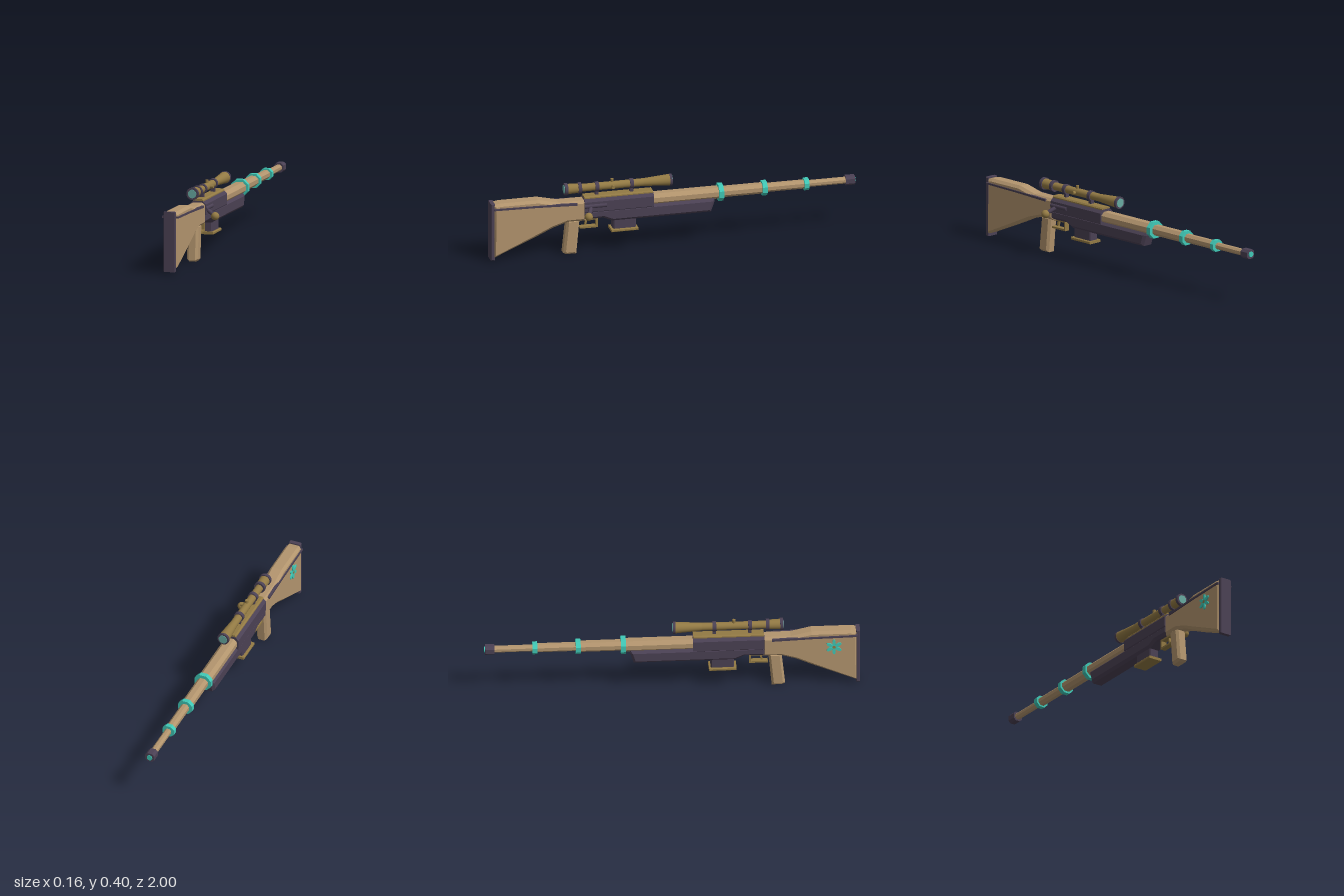
import * as THREE from 'three';

const CX = -0.035; // centre plane of the rifle body

const paint = (name, color) => {
  const m = new THREE.MeshStandardMaterial({ color });
  m.name = name;
  return m;
};

export function createModel() {
  const root = new THREE.Group();
  root.name = 'rifle';
  const tan = paint('tanWood', 0xb3956e);
  const dark = paint('darkMetal', 0x4b4154);
  const gold = paint('agedBrass', 0x937a44);
  const teal = paint('teal', 0x40c8b6);
  const lens = paint('lensGlass', 0x68aaa1);

  const add = (name, geo, mat, parent = root) => {
    const mesh = new THREE.Mesh(geo, mat);
    mesh.name = name;
    parent.add(mesh);
    return mesh;
  };

  // Side profile of [z, y] points, extruded across x with chamfered edges
  const slab = (name, mat, pts, width, bevel) => {
    const shape = new THREE.Shape(pts.map(([z, y]) => new THREE.Vector2(z, y)));
    const geo = new THREE.ExtrudeGeometry(shape, {
      depth: width - 2 * bevel, bevelEnabled: bevel > 0, bevelSize: bevel,
      bevelThickness: bevel, bevelOffset: -bevel, bevelSegments: 1,
    });
    geo.translate(0, 0, bevel - width / 2).rotateY(-Math.PI / 2).translate(CX, 0, 0);
    return add(name, geo, mat);
  };

  // Bar along z with an octagonal section
  const bar = (name, mat, w, h, y, z0, z1, chamfer = 0.3) => {
    const c = Math.min(w, h) * chamfer, a = w / 2, b = h / 2;
    const shape = new THREE.Shape([
      [a, -b + c], [a, b - c], [a - c, b], [-a + c, b],
      [-a, b - c], [-a, -b + c], [-a + c, -b], [a - c, -b],
    ].map(([px, py]) => new THREE.Vector2(px, py)));
    const geo = new THREE.ExtrudeGeometry(shape, { depth: z1 - z0, bevelEnabled: false });
    return add(name, geo.translate(CX, y, z0), mat);
  };

  // Round section along z
  const round = (name, mat, r0, r1, y, z0, z1, x = CX, sides = 24) => {
    const geo = new THREE.CylinderGeometry(r1, r0, z1 - z0, sides);
    return add(name, geo.rotateX(Math.PI / 2).translate(x, y, (z0 + z1) / 2), mat);
  };

  const box = (name, mat, w, h, d, x, y, z) =>
    add(name, new THREE.BoxGeometry(w, h, d).translate(x, y, z), mat);

  // Stock, butt pad and the inlaid seam
  slab('stock', tan, [
    [0.985, 0.022], [0.985, 0.325], [0.95, 0.331], [0.74, 0.331], [0.63, 0.306],
    [0.48, 0.306], [0.48, 0.19], [0.58, 0.19], [0.66, 0.165], [0.757, 0.12],
  ], 0.08, 0.014);
  slab('buttPad', dark, [[1, 0.01], [1, 0.333], [0.978, 0.333], [0.978, 0.01]], 0.067, 0.004);
  slab('stockSeam', dark, [
    [0.985, 0.298], [0.985, 0.308], [0.75, 0.304], [0.53, 0.298], [0.53, 0.286], [0.75, 0.294],
  ], 0.092, 0);

  // Grip, trigger guard and trigger
  slab('grip', tan, [[0.602, 0.012], [0.582, 0.2], [0.512, 0.2], [0.53, 0.003], [0.585, 0.003]], 0.06, 0.012);
  box('guardBottom', gold, 0.03, 0.01, 0.1, CX, 0.145, 0.46);
  box('guardFront', gold, 0.03, 0.055, 0.01, CX, 0.168, 0.415);
  box('guardTop', gold, 0.03, 0.01, 0.1, CX, 0.19, 0.46);
  slab('trigger', gold, [[0.475, 0.2], [0.465, 0.2], [0.472, 0.155], [0.482, 0.155]], 0.014, 0);

  // Receiver and forend
  slab('forend', dark, [
    [0.5, 0.195], [0.5, 0.25], [-0.222, 0.25], [-0.225, 0.235], [-0.205, 0.175],
    [0.335, 0.175], [0.385, 0.197],
  ], 0.082, 0.014);
  bar('receiver', dark, 0.088, 0.09, 0.27, 0.11, 0.49, 0.2);
  bar('receiverTop', gold, 0.058, 0.026, 0.312, 0.112, 0.488, 0.25);
  round('boltBody', dark, 0.012, 0.012, 0.274, 0.37, 0.49, 0.004, 12);

  // Magazine
  slab('magazine', dark, [[0.33, 0.12], [0.33, 0.19], [0.205, 0.19], [0.205, 0.12]], 0.056, 0.006);
  slab('magazinePlate', gold, [[0.342, 0.112], [0.342, 0.127], [0.195, 0.127], [0.195, 0.112]], 0.08, 0.003);

  // Bolt handle
  const from = new THREE.Vector3(-0.005, 0.272, 0.45);
  const to = new THREE.Vector3(0.058, 0.236, 0.48);
  add('boltHandle', new THREE.TubeGeometry(new THREE.LineCurve3(from, to), 1, 0.011, 12), dark);
  add('boltKnob', new THREE.SphereGeometry(0.022, 20, 14).translate(0.058, 0.236, 0.48), gold);

  // Stepped barrel: width, height, rear z, front z
  [
    [0.074, 0.062, 0.12, -0.26], [0.06, 0.055, -0.25, -0.5],
    [0.046, 0.046, -0.49, -0.73], [0.035, 0.034, -0.72, -0.96],
  ].forEach(([w, h, z1, z0], i) => bar('barrel' + (i + 1), tan, w, h, 0.272, z0, z1));

  // Barrel bands: width, height, centre z
  [[0.094, 0.09, -0.26], [0.08, 0.076, -0.5], [0.068, 0.062, -0.73]]
    .forEach(([w, h, z], i) => bar('barrelBand' + (i + 1), teal, w, h, 0.272, z - 0.013, z + 0.013));
  bar('muzzle', dark, 0.052, 0.05, 0.272, -0.995, -0.945, 0.25);
  round('muzzleBore', teal, 0.015, 0.015, 0.272, -1, -0.99, CX, 16);

  // Scope tube: name, colour, front radius, rear radius, front z, rear z
  const SY = 0.368;
  [
    ['scopeObjectiveRim', dark, 0.033, 0.033, 0.005, 0.018],
    ['scopeFlare', gold, 0.031, 0.021, 0.018, 0.16],
    ['scopeTube', gold, 0.021, 0.021, 0.16, 0.5],
    ['scopeCollar', dark, 0.031, 0.031, 0.5, 0.518],
    ['scopeEyepiece', gold, 0.026, 0.028, 0.518, 0.575],
    ['scopeEyeRim', dark, 0.033, 0.033, 0.575, 0.592],
    ['scopeFrontLens', lens, 0.024, 0.024, 0.002, 0.008],
    ['scopeRearLens', lens, 0.023, 0.023, 0.588, 0.595],
  ].forEach(([name, mat, r0, r1, z0, z1]) => round(name, mat, r0, r1, SY, z0, z1));

  // Scope mounts
  for (const z of [0.225, 0.415]) {
    round('mountRing', dark, 0.027, 0.027, SY, z - 0.01, z + 0.01);
    box('mountPost', dark, 0.022, 0.035, 0.018, CX, 0.333, z);
  }

  // Adjustment knobs
  const knob = () => new THREE.CylinderGeometry(0.009, 0.009, 0.038, 12);
  add('topKnob', knob().translate(CX, SY + 0.018, 0.33), gold);
  add('sideKnob', knob().rotateZ(Math.PI / 2).translate(CX + 0.018, SY, 0.33), gold);

  // Flower inlay on the right face of the stock
  const flower = new THREE.Group();
  flower.name = 'flowerInlay';
  flower.position.set(CX - 0.043, 0.24, 0.86);
  root.add(flower);
  const disc = (r) => new THREE.CylinderGeometry(r, r, 0.008, 12).rotateZ(Math.PI / 2);
  for (let i = 0; i < 6; i++) {
    const petal = disc(0.014).scale(1, 1.4, 0.65).translate(0, 0.025, 0);
    add('petal', petal.rotateX((i * Math.PI) / 3), teal, flower);
  }
  add('flowerCentre', disc(0.009).translate(-0.001, 0, 0), gold, flower);

  return root;
}
